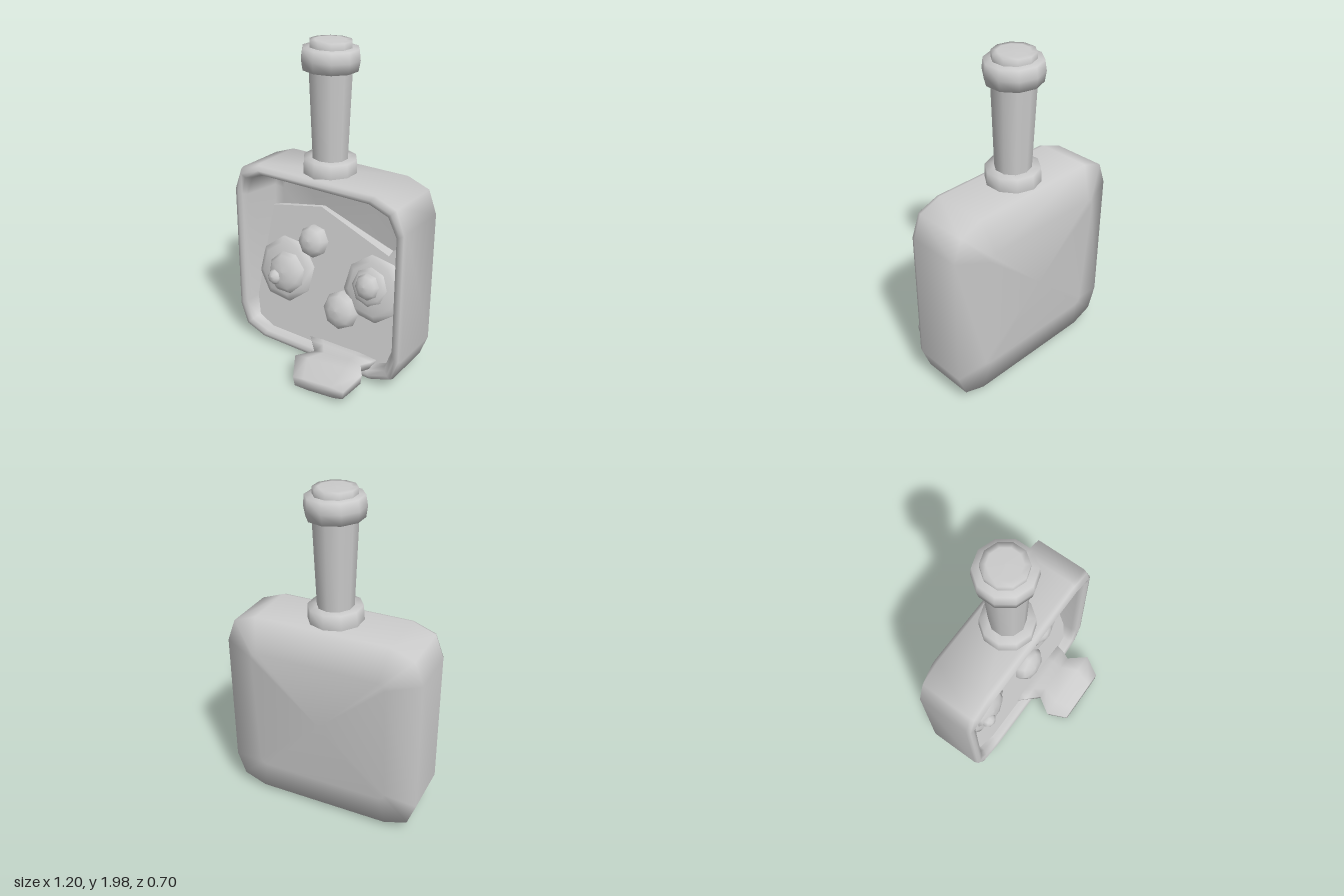
import * as THREE from 'three';
import { toCreasedNormals } from 'three/addons/utils/BufferGeometryUtils.js';

const grey = new THREE.MeshStandardMaterial({ color: 0xcccccc, side: THREE.DoubleSide });
const V = (x, y, z) => new THREE.Vector3(x, y, z);

// Skin over equal-length rings (each anticlockwise seen from +z), both ends closed by fans.
function loft(rings) {
  const n = rings[0].length, pos = [], idx = [];
  const centre = (r) => r.reduce((s, p) => s.add(p), V(0, 0, 0)).divideScalar(n);
  const pts = [...rings.flat(), centre(rings[0]), centre(rings[rings.length - 1])];
  pts.forEach((p) => pos.push(p.x, p.y, p.z));
  const c0 = rings.length * n, c1 = c0 + 1, last = (rings.length - 1) * n;
  for (let i = 0; i < n; i++) {
    const j = (i + 1) % n;
    for (let r = 0; r < rings.length - 1; r++) {
      const a = r * n, b = a + n;
      idx.push(a + i, b + i, a + j, a + j, b + i, b + j);
    }
    idx.push(c0, i, j, c1, last + j, last + i);
  }
  const g = new THREE.BufferGeometry();
  g.setAttribute('position', new THREE.Float32BufferAttribute(pos, 3));
  g.setIndex(idx);
  g.computeVertexNormals();
  return g;
}

// Twelve-sided rounded square, inset from the pan's outer edge; zAt gives depth by height.
function outline(inset, zAt, cut = 0.19 - inset * 0.4) {
  const h = 0.6 - inset, cy = 0.64, k = cut * 0.27;
  const q = [[h, h - cut], [h - k, h - k], [h - cut, h]];
  const rev = [...q].reverse();
  return [
    ...q, ...rev.map(([x, y]) => [-x, y]),
    ...q.map(([x, y]) => [-x, -y]), ...rev.map(([x, y]) => [x, -y]),
  ].map(([x, y]) => V(x, y + cy, zAt(y + cy)));
}

export function createModel() {
  const model = new THREE.Group();
  const add = (name, geometry, parent = model) => {
    const m = new THREE.Mesh(geometry, grey);
    m.name = name;
    parent.add(m);
    return m;
  };

  // Square pan: floor, inner wall, rolled rim, outer wall, sloping back
  const lip = (y) => (y > 1.1 ? 0.1 : 0.08);
  add('pan', loft([
    outline(0.13, () => -0.24),
    outline(0.09, () => -0.21),
    outline(0.07, () => 0.04),
    outline(0.055, (y) => lip(y) - 0.01),
    outline(0.03, lip),
    outline(0.008, () => 0.075),
    outline(0, () => 0.05),
    outline(0, () => -0.275),
    outline(0.19, (y) => -0.3 - 0.05 * (y - 0.23) / 0.82, 0.04),
  ]));

  // Handle: shaft between two collars, with an end cap
  const handle = new THREE.Group();
  handle.name = 'handle';
  handle.position.set(-0.005, 0, -0.093);
  model.add(handle);
  const turned = (name, tilt, y, profile) => {
    const m = add(name, new THREE.LatheGeometry(profile.map(([r, h]) => new THREE.Vector2(r, h)), 10), handle);
    m.position.y = y;
    m.rotation.z = tilt;
  };
  turned('lowerCollar', -0.03, 1.28, [[0.15, -0.08], [0.162, -0.04], [0.158, 0.045], [0.09, 0.045]]);
  turned('shaft', 0, 1.3, [[0.105, 0], [0.127, 0.55]]);
  turned('upperCollar', -0.03, 1.895, [[0.1, -0.06], [0.16, -0.06], [0.17, 0], [0.162, 0.06], [0.1, 0.065]]);
  turned('endCap', -0.02, 1.95, [[0.122, 0], [0.122, 0.045], [0.09, 0.047], [0, 0.049]]);

  // Thick liquid, deep at the bottom and thin towards its ragged top edge
  const surface = (y) => 0.055 - 0.286 * y;
  const edge = [
    [-0.525, 0.86], [-0.535, 0.25], [-0.5, 0.15], [-0.37, 0.11], [0.37, 0.11],
    [0.5, 0.15], [0.535, 0.25], [0.525, 0.85], [0.37, 0.76], [-0.15, 0.93],
  ];
  add('liquid', toCreasedNormals(loft([
    edge.map(([x, y]) => V(x, y, surface(y))),
    edge.map(([x, y]) => V(x * 0.95, y, -0.245)),
  ]), 0.6));

  // Spill running out over the lower rim: z, left and right ends, their heights, half thickness
  const section = ([z, x0, x1, y0, y1, t]) => {
    const at = (u, s) => V(x0 + (x1 - x0) * u, y0 + (y1 - y0) * u + s * t, z);
    return [at(1, 0.7), at(0.75, 1), at(0.2, 1), at(0, 0.8), at(0.03, -0.8), at(0.3, -1), at(0.8, -1), at(0.98, -0.7)];
  };
  add('spill', loft([
    [0.35, 0.04, 0.4, 0.042, 0.09, 0.035],
    [0.235, -0.03, 0.45, 0.095, 0.155, 0.045],
    [0.125, 0.04, 0.37, 0.1, 0.135, 0.038],
    [0.06, -0.03, 0.4, 0.11, 0.13, 0.036],
    [-0.03, -0.12, 0.42, 0.11, 0.12, 0.03],
  ].map(section)));

  // Low domes and bubbles sitting on the liquid
  const dome = (name, x, y, lift, r, height, sides, spin = 0) => {
    const profile = [[1, -0.5], [0.97, 0.25], [0.78, 0.65], [0.42, 0.92], [0, 1]];
    const g = new THREE.LatheGeometry(profile.map(([a, b]) => new THREE.Vector2(a * r, b * height)), sides);
    g.rotateY(spin);
    const m = add(name, g);
    m.rotation.x = Math.PI / 2 - 0.28;
    m.position.set(x, y, surface(y) + lift);
  };
  dome('leftMound', -0.33, 0.5, 0, 0.215, 0.055, 8, 0.3);
  dome('leftYolk', -0.305, 0.495, 0.03, 0.14, 0.065, 8, 0.4);
  dome('leftBubble', -0.36, 0.465, 0.07, 0.052, 0.05, 8);
  dome('rightMound', 0.31, 0.55, 0, 0.21, 0.05, 8, 0.25);
  dome('rightYolk', 0.3, 0.57, 0.03, 0.125, 0.045, 8, 0.1);
  dome('rightBubble', 0.295, 0.58, 0.05, 0.085, 0.06, 8, 0.2);
  dome('upperBubble', -0.16, 0.72, 0.01, 0.105, 0.07, 8, 0.2);
  dome('lowerBubble', 0.12, 0.37, 0.01, 0.122, 0.075, 8, 0.1);

  return model;
}
